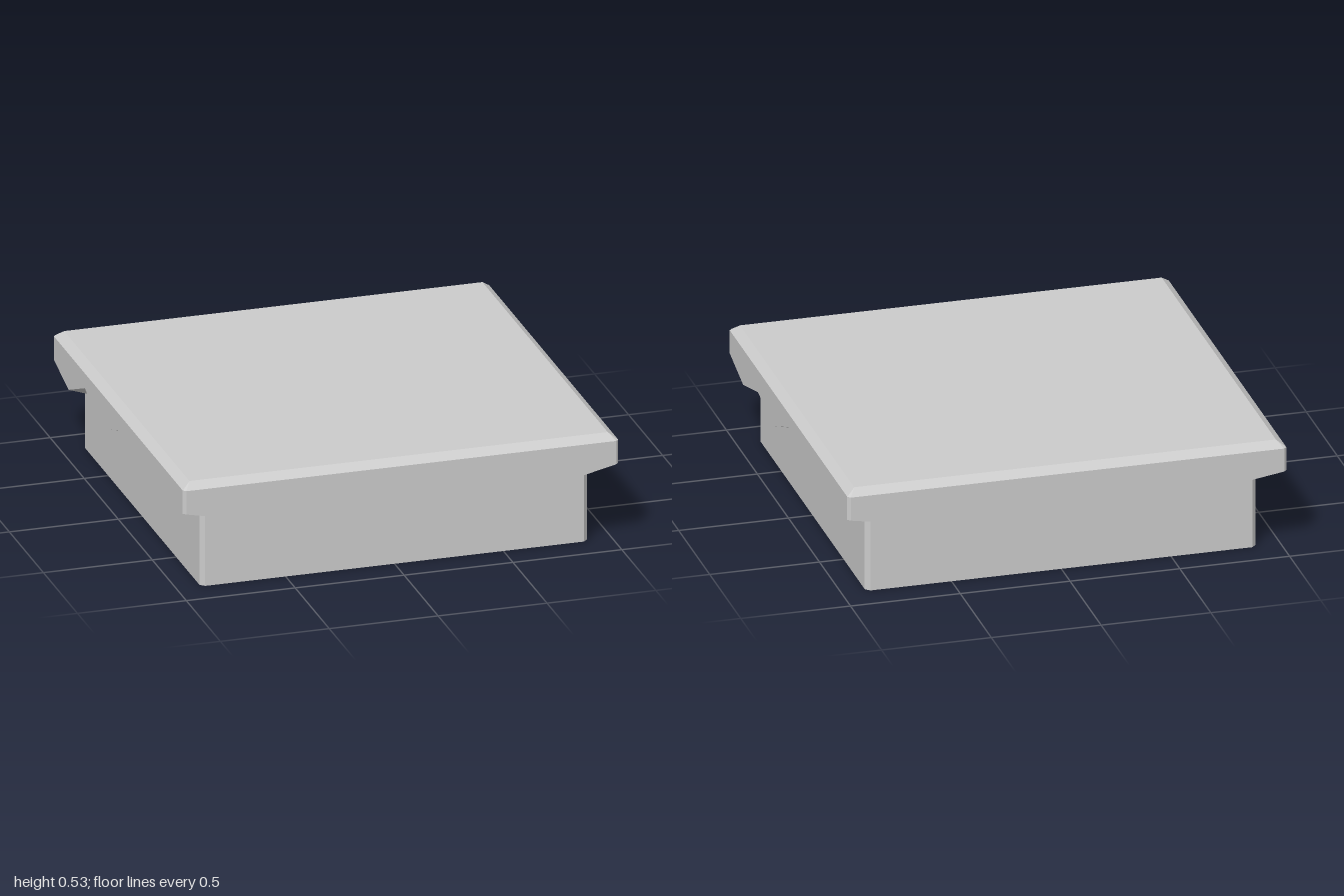
import * as THREE from 'three';

const HX = 1, HZ = 0.96;         // half size of the slab
const BX = 0.89, BZ = 0.86;      // half size of the base
const CHAMFER = 0.013;           // slab corner cut
const SHOULDER = 0.5, TOP = 0.53, BEVEL = 0.04;

// Ragged lower edge of each side: [position along the side, height],
// walked counter-clockwise as seen from above.
const edges = {
  front: [[-0.75, 0.34], [-0.5, 0.34], [-0.25, 0.395], [0, 0.435], [0.25, 0.39], [0.5, 0.34], [0.77, 0.34]],
  right: [[-0.73, 0.33], [-0.49, 0.395], [-0.25, 0.335], [0, 0.435], [0.24, 0.33], [0.48, 0.33], [0.72, 0.42]],
  back: [[-0.76, 0.35], [-0.48, 0.44], [-0.24, 0.385], [0, 0.37], [0.24, 0.305], [0.5, 0.4], [0.76, 0.355]],
  left: [[-0.73, 0.33], [-0.49, 0.43], [-0.25, 0.33], [0, 0.42], [0.22, 0.37], [0.48, 0.43], [0.76, 0.335]],
};
const place = {
  front: t => [t, HZ],
  right: t => [HX, -t],
  back: t => [-t, -HZ],
  left: t => [-HX, t],
};

// Outline of the slab as [x, y, z] points along its lower edge
function skirtLoop() {
  const loop = [];
  for (const side of ['front', 'right', 'back', 'left']) {
    const end = (side === 'front' || side === 'back' ? HX : HZ) - CHAMFER;
    for (const [t, y] of [[-end, 0.39], ...edges[side], [end, 0.39]]) {
      const [x, z] = place[side](t);
      loop.push([x, y, z]);
    }
  }
  return loop;
}

// Joins stacked loops with faces and closes the last one with a flat lid
function loft(loops) {
  const pos = [];
  const tri = (a, b, c) => pos.push(...a, ...b, ...c);
  const n = loops[0].length;
  for (let i = 0; i < n; i++) {
    const j = (i + 1) % n;
    for (let k = 0; k < loops.length - 1; k++) {
      const lo = loops[k], hi = loops[k + 1];
      tri(lo[i], lo[j], hi[j]);
      tri(lo[i], hi[j], hi[i]);
    }
    const last = loops[loops.length - 1];
    tri(last[i], last[j], [0, last[i][1], 0]);
  }
  const geo = new THREE.BufferGeometry();
  geo.setAttribute('position', new THREE.Float32BufferAttribute(pos, 3));
  geo.computeVertexNormals();
  return geo;
}

// Square block with cut vertical corners
function chamferedBlock(hx, hz, cut, height) {
  const shape = new THREE.Shape([
    [-hx + cut, -hz], [hx - cut, -hz], [hx, -hz + cut], [hx, hz - cut],
    [hx - cut, hz], [-hx + cut, hz], [-hx, hz - cut], [-hx, -hz + cut],
  ].map(([x, y]) => new THREE.Vector2(x, y)));
  const geo = new THREE.ExtrudeGeometry(shape, { depth: height, bevelEnabled: false });
  geo.rotateX(-Math.PI / 2);
  return geo;
}

export function createModel() {
  const group = new THREE.Group();
  group.name = 'groundTile';
  const material = new THREE.MeshStandardMaterial({ color: 0xcccccc, flatShading: true });

  // Base block
  const base = new THREE.Mesh(chamferedBlock(BX, BZ, 0.02, 0.47), material);
  base.name = 'base';
  group.add(base);

  // Overhanging slab: underside, ragged skirt, bevel and flat top
  const outer = skirtLoop();
  const inner = outer.map(([x, y, z]) => [x * (BX - 0.005) / HX, y - 0.014, z * (BZ - 0.005) / HZ]);
  const shoulder = outer.map(([x, , z]) => [x, SHOULDER, z]);
  const clamp = THREE.MathUtils.clamp;
  const rim = outer.map(([x, , z]) => [
    clamp(x, BEVEL - HX, HX - BEVEL), TOP, clamp(z, BEVEL - HZ, HZ - BEVEL)]);
  const slab = new THREE.Mesh(loft([inner, outer, shoulder, rim]), material);
  slab.name = 'overhangingSlab';
  group.add(slab);

  return group;
}
